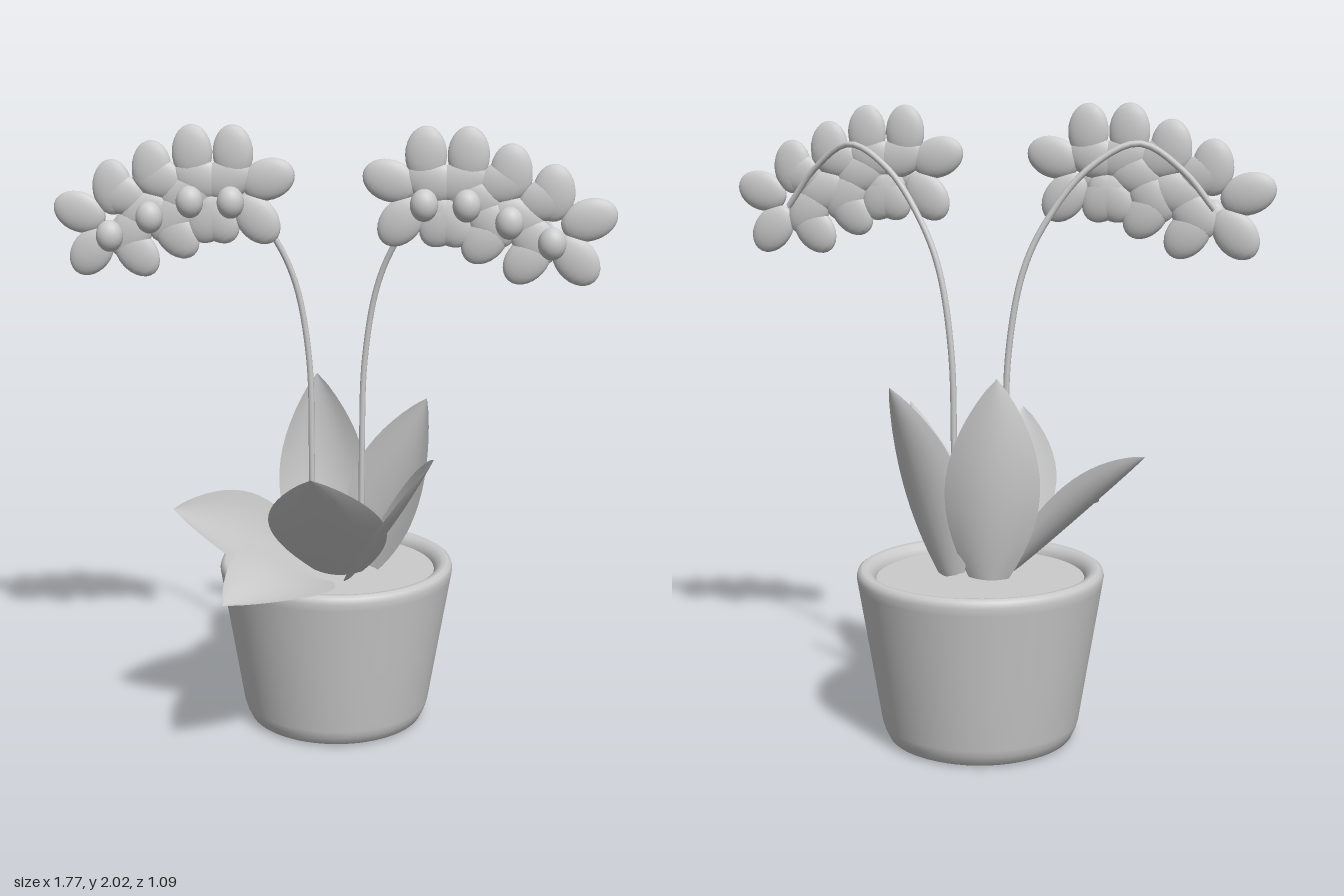
import * as THREE from 'three';

const V = (x, y, z) => new THREE.Vector3(x, y, z);
const smooth = new THREE.MeshStandardMaterial({ color: 0xcccccc });
const thin = new THREE.MeshStandardMaterial({ color: 0xcccccc, side: THREE.DoubleSide });

function add(parent, name, geometry, material = smooth) {
  const mesh = new THREE.Mesh(geometry, material);
  mesh.name = name;
  parent.add(mesh);
  return mesh;
}

// Pointed, cupped leaf from base to tip; side is the direction of its width
function leafGeometry({ base, tip, side, width, cup = 0.04, bow = 0.02 }) {
  const a = V(...base), b = V(...tip);
  const dir = b.clone().sub(a).normalize();
  const s = V(...side);
  s.addScaledVector(dir, -s.dot(dir)).normalize();
  const n = s.clone().cross(dir);
  const mid = a.clone().lerp(b, 0.5);
  const inward = V(0, 1.3, -0.1).sub(mid);
  if (n.dot(inward) < 0) n.negate();
  const geo = new THREE.PlaneGeometry(1, 1, 8, 16);
  const pos = geo.attributes.position;
  for (let i = 0; i < pos.count; i++) {
    const u = pos.getX(i) * 2, t = pos.getY(i) + 0.5;
    const shape = Math.max(0, Math.sin(Math.PI * (0.12 + 0.88 * t))) ** 0.85;
    const lift = cup * (u * u - 0.4) * shape + bow * Math.sin(Math.PI * t);
    const p = a.clone().lerp(b, t).addScaledVector(s, u * width * shape).addScaledVector(n, lift);
    pos.setXYZ(i, p.x, p.y, p.z);
  }
  geo.computeVertexNormals();
  return geo;
}

// Five flattened petals around a small round centre
function makeFlower(x, y) {
  const flower = new THREE.Group();
  flower.name = 'flower';
  flower.position.set(x, y, 0.026);
  for (const degrees of [90, 18, 162, -50, -130]) {
    const angle = THREE.MathUtils.degToRad(degrees);
    const petal = add(flower, 'petal', new THREE.SphereGeometry(1, 20, 14));
    petal.scale.set(0.087, 0.064, 0.025);
    petal.rotation.z = angle;
    petal.position.set(0.115 * Math.cos(angle), 0.033 + 0.115 * Math.sin(angle), 0);
  }
  const centre = add(flower, 'flowerCentre', new THREE.SphereGeometry(1, 20, 14));
  centre.scale.set(0.043, 0.05, 0.038);
  centre.position.z = 0.05;
  return flower;
}

export function createModel() {
  const model = new THREE.Group();
  model.name = 'pottedFlowers';

  // Pot with rounded foot and rim
  const profile = [
    [0, 0], [0.28, 0], [0.297, 0.008], [0.31, 0.035], [0.318, 0.06], [0.355, 0.29], [0.391, 0.51],
    [0.395, 0.535], [0.39, 0.552], [0.378, 0.56], [0.36, 0.557], [0.343, 0.545], [0.335, 0.525], [0.33, 0.49],
  ].map(([r, y]) => new THREE.Vector2(r, y));
  const pot = add(model, 'pot', new THREE.LatheGeometry(profile, 64), thin);
  pot.position.z = -0.155;

  const soil = add(model, 'soil', new THREE.CircleGeometry(0.333, 48));
  soil.rotation.x = -Math.PI / 2;
  soil.position.set(0, 0.525, -0.155);

  // Leaves
  const leaves = [
    { base: [-0.04, 0.53, -0.2], tip: [-0.08, 1.18, -0.25], side: [1, 0, -0.25], width: 0.15, cup: 0.06, bow: -0.01 },
    { base: [0.09, 0.53, -0.19], tip: [0.3, 1.125, -0.16], side: [0.75, -0.25, 0.45], width: 0.14 },
    { base: [0.07, 0.54, -0.08], tip: [0.355, 1.02, 0.225], side: [0.3, 0.4, -0.85], width: 0.155, bow: 0 },
    { base: [0.02, 0.54, -0.05], tip: [0, 0.99, 0.4], side: [1, 0, 0], width: 0.19, bow: 0 },
    { base: [-0.08, 0.54, -0.12], tip: [-0.45, 0.85, 0.3], side: [-0.21, 0.66, -0.67], width: 0.155, bow: 0.02 },
    { base: [-0.05, 0.545, -0.02], tip: [-0.245, 0.63, 0.54], side: [-0.9, 0.4, -0.2], width: 0.15, bow: 0.045 },
  ];
  for (const leaf of leaves) add(model, 'leaf', leafGeometry(leaf), thin);

  // Mirrored arching stems, each carrying four flowers
  for (const [label, m] of [['left', 1], ['right', -1]]) {
    const spray = new THREE.Group();
    spray.name = label + 'Spray';
    const path = new THREE.CatmullRomCurve3([
      [0.085, 0.51, -0.16], [0.085, 0.95, -0.16], [0.093, 1.25, -0.16], [0.135, 1.5, -0.147],
      [0.2, 1.65, -0.125], [0.32, 1.81, -0.085], [0.47, 1.89, -0.04], [0.6, 1.81, -0.01], [0.7, 1.69, 0.008],
    ].map(([x, y, z]) => V(m * x, y, z)));
    add(spray, 'stem', new THREE.TubeGeometry(path, 60, 0.01, 10), thin);
    for (const [x, y] of [[0.3, 1.78], [0.43, 1.78], [0.56, 1.73], [0.69, 1.67]]) spray.add(makeFlower(m * x, y));
    model.add(spray);
  }
  return model;
}
